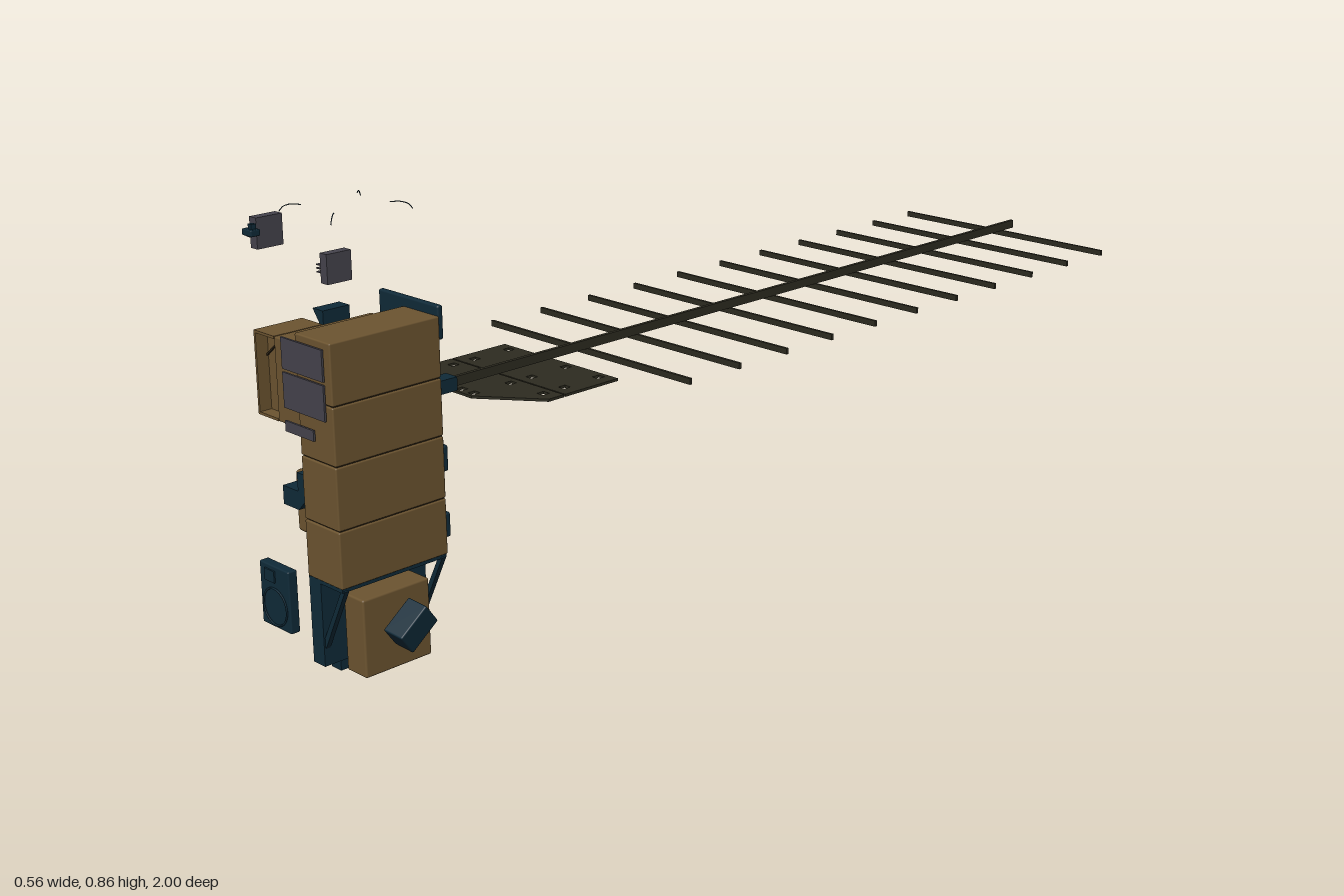
import * as THREE from 'three';
import { RoundedBoxGeometry } from 'three/addons/geometries/RoundedBoxGeometry.js';

const mat = (name, color, side = THREE.FrontSide) => {
  const m = new THREE.MeshStandardMaterial({ color, side });
  m.name = name;
  return m;
};

export function createModel() {
  const model = new THREE.Group();
  model.name = 'spaceProbe';
  const foil = mat('bronze foil', 0x6c5430);
  const navy = mat('dark navy', 0x0f2a38);
  const gray = mat('slate gray', 0x45434c);
  const metal = mat('boom metal', 0x2d2b20, THREE.DoubleSide);
  const seam = mat('dark seam', 0x2c2315);

  const add = (name, geo, material, parent = model) => {
    const m = new THREE.Mesh(geo, material);
    m.name = name;
    parent.add(m);
    return m;
  };
  // box from its limits on each axis, optionally with rounded edges
  const box = (name, material, [x0, x1], [y0, y1], [z0, z1], r = 0) => {
    const s = [x1 - x0, y1 - y0, z1 - z0];
    const m = add(name, r ? new RoundedBoxGeometry(...s, 2, r) : new THREE.BoxGeometry(...s), material);
    m.position.set((x0 + x1) / 2, (y0 + y1) / 2, (z0 + z1) / 2);
    return m;
  };
  // flat outline in x and y, extruded along z
  const plate = (name, material, pts, z, depth) => {
    const shape = new THREE.Shape(pts.map(p => new THREE.Vector2(...p)));
    const m = add(name, new THREE.ExtrudeGeometry(shape, { depth, bevelEnabled: false }), material);
    m.position.z = z;
    return m;
  };

  // main body: four stacked foil modules around a dark core
  box('bodyCore', seam, [-0.078, 0.018], [0.195, 0.64], [0.742, 0.976]);
  const levels = [0.19, 0.3, 0.42, 0.53, 0.646];
  for (let i = 0; i < 4; i++)
    box('bodyModule', foil, [-0.08, 0.021], [levels[i] + 0.001, levels[i + 1] - 0.001], [0.74, 0.98], 0.003);

  // side compartments
  box('upperCompartment', foil, [-0.15, -0.08], [0.465, 0.623], [0.76, 0.975], 0.003);
  box('trayBack', foil, [-0.211, -0.15], [0.465, 0.623], [0.87, 0.95]);
  box('traySide', foil, [-0.211, -0.206], [0.465, 0.623], [0.95, 0.975]);
  for (const y of [0.465, 0.618]) box('trayEdge', foil, [-0.206, -0.15], [y, y + 0.005], [0.95, 0.975]);
  plate('trayBrace', seam, [[-0.206, 0.571], [-0.152, 0.616], [-0.152, 0.62], [-0.206, 0.575]], 0.95, 0.004);
  box('underCompartment', foil, [-0.12, -0.08], [0.43, 0.465], [0.78, 0.95], 0.003);
  box('lowerCompartment', foil, [-0.184, -0.08], [0.233, 0.353], [0.75, 0.925], 0.008);

  // equipment on the lower compartment
  plate('instrumentMount', navy, [[-0.164, 0.302], [-0.118, 0.302], [-0.085, 0.335], [-0.085, 0.374],
    [-0.118, 0.374], [-0.118, 0.338], [-0.164, 0.338]], 0.925, 0.04);

  // brackets on the back face
  for (const [y0, y1] of [[0.6, 0.664], [0.35, 0.4], [0.222, 0.27]])
    box('backBracket', navy, [-0.151, 0.02], [y0, y1], [0.73, 0.742], 0.004);
  plate('hingeBracket', navy, [[-0.15, 0.5], [-0.1, 0.47], [-0.04, 0.48], [-0.025, 0.53], [-0.04, 0.575],
    [-0.08, 0.54], [-0.12, 0.57], [-0.15, 0.55]], 0.73, 0.014);

  // small side equipment
  box('sideSensor', navy, [-0.244, -0.211], [0.545, 0.584], [0.76, 0.84], 0.004);
  plate('sensorFin', navy, [[-0.212, 0.545], [-0.203, 0.545], [-0.203, 0.629], [-0.234, 0.629], [-0.216, 0.605]], 0.77, 0.06);
  box('sideRod', navy, [-0.217, -0.175], [0.424, 0.442], [0.81, 0.9], 0.003);
  box('sideFoot', navy, [-0.146, -0.118], [0.441, 0.465], [0.85, 0.95], 0.003);
  box('sideArm', navy, [-0.205, -0.15], [0.555, 0.565], [0.79, 0.81]);
  box('sidePanel', gray, [-0.192, -0.155], [0.566, 0.571], [0.75, 0.85]);

  // front panels
  box('frontPanel', gray, [-0.114, 0.005], [0.502, 0.568], [0.982, 0.986]);
  box('frontPanel', gray, [-0.114, 0.005], [0.574, 0.632], [0.982, 0.986]);
  box('frontStrip', gray, [-0.114, -0.031], [0.458, 0.478], [0.982, 0.986]);

  // free-standing sensors above the side
  for (const [y, z] of [[0.77, 0.91], [0.677, 0.765]]) {
    box('sensorBox', gray, [-0.217, -0.197], [y, y + 0.057], [z, z + 0.055]);
    for (let i = 0; i < 3; i++)
      box('sensorPin', gray, [-0.244, -0.22], [y + 0.014 + i * 0.007, y + 0.016 + i * 0.007], [z + 0.015, z + 0.045]);
    box('sensorTip', navy, [-0.24, -0.234], [y + 0.035, y + 0.038], [z + 0.025, z + 0.03]);
  }
  box('headCamera', navy, [-0.193, -0.165], [0.803, 0.815], [0.978, 0.998], 0.002);
  box('cameraLens', navy, [-0.182, -0.172], [0.813, 0.824], [0.982, 0.992]);

  // antenna tips around the top corners
  for (const sx of [-1, 1]) for (const sz of [-1, 1]) {
    const p = [[0.047, 0.855, 0.06], [0.06, 0.856, 0.072], [0.07, 0.852, 0.082], [0.075, 0.843, 0.088]];
    const curve = new THREE.CatmullRomCurve3(p.map(([x, y, z]) => new THREE.Vector3(-0.078 + sx * x, y, 0.858 + sz * z)));
    add('antennaTip', new THREE.TubeGeometry(curve, 8, 0.001, 5), navy);
  }

  // lower navy frame with ribs and diagonal struts
  box('frameWall', navy, [-0.08, -0.046], [0.022, 0.189], [0.742, 0.978]);
  box('frameTop', navy, [-0.08, 0.018], [0.184, 0.191], [0.742, 0.978]);
  for (const z of [0.79, 0.855, 0.92]) box('frameRib', navy, [-0.08, -0.051], [0, 0.03], [z - 0.02, z + 0.02]);
  for (const z of [0.745, 0.965])
    plate('frameStrut', navy, [[-0.05, 0.05], [-0.042, 0.062], [0.021, 0.186], [0.012, 0.189], [-0.05, 0.07]], z, 0.01);

  // foil tank and thruster block beside the frame
  box('lowerTank', foil, [-0.039, 0.018], [0.004, 0.156], [0.785, 0.935], 0.004);
  const thruster = add('thrusterBlock', new RoundedBoxGeometry(0.048, 0.05, 0.075, 2, 0.003), navy);
  thruster.position.set(0.05, 0.094, 0.855);
  thruster.rotation.set(0.65, 0, -0.12);

  // detached front panel with a round cover
  box('dishPanel', navy, [-0.213, -0.124], [0.065, 0.187], [0.973, 0.993], 0.003);
  const cover = add('dishRing', new THREE.TorusGeometry(0.036, 0.002, 6, 32), navy);
  cover.position.set(-0.169, 0.107, 0.994);
  box('dishLabelPlate', navy, [-0.195, -0.165], [0.155, 0.178], [0.993, 0.996]);

  // long boom with cross elements
  box('boom', metal, [-0.004, 0.004], [0.5, 0.518], [-1, 0.735]);
  box('boomRoot', navy, [-0.016, 0.016], [0.496, 0.522], [0.7, 0.74]);
  for (let i = 0; i < 11; i++) {
    const z = 0.365 - i * 0.1325;
    box('crossElement', metal, [-0.28, 0.28], [0.488, 0.5], [z - 0.003, z + 0.003]);
  }

  // perforated reflector plate in two sections, tapering toward the body
  const reflector = (outline, holes) => {
    const shape = new THREE.Shape(outline.map(p => new THREE.Vector2(...p)));
    for (const [x, z] of holes) {
      const a = 0.008;
      shape.holes.push(new THREE.Path([[x - a, z - a], [x - a, z + a], [x + a, z + a], [x + a, z - a]]
        .map(p => new THREE.Vector2(...p))));
    }
    const m = add('reflectorPlate', new THREE.ExtrudeGeometry(shape, { depth: 0.005, bevelEnabled: false }), metal);
    m.rotation.x = Math.PI / 2;
    m.position.y = 0.49;
  };
  const row = z => [-0.127, -0.037, 0.037, 0.127].map(x => [x, z]);
  reflector([[-0.16, 0.436], [0.16, 0.436], [0.16, 0.568], [-0.16, 0.568]], [...row(0.455), ...row(0.54)]);
  reflector([[-0.16, 0.571], [0.16, 0.571], [0.16, 0.608], [0.045, 0.692], [-0.045, 0.692], [-0.16, 0.608]],
    [...row(0.592), [-0.034, 0.677], [0, 0.677], [0.034, 0.677]]);

  return model;
}
